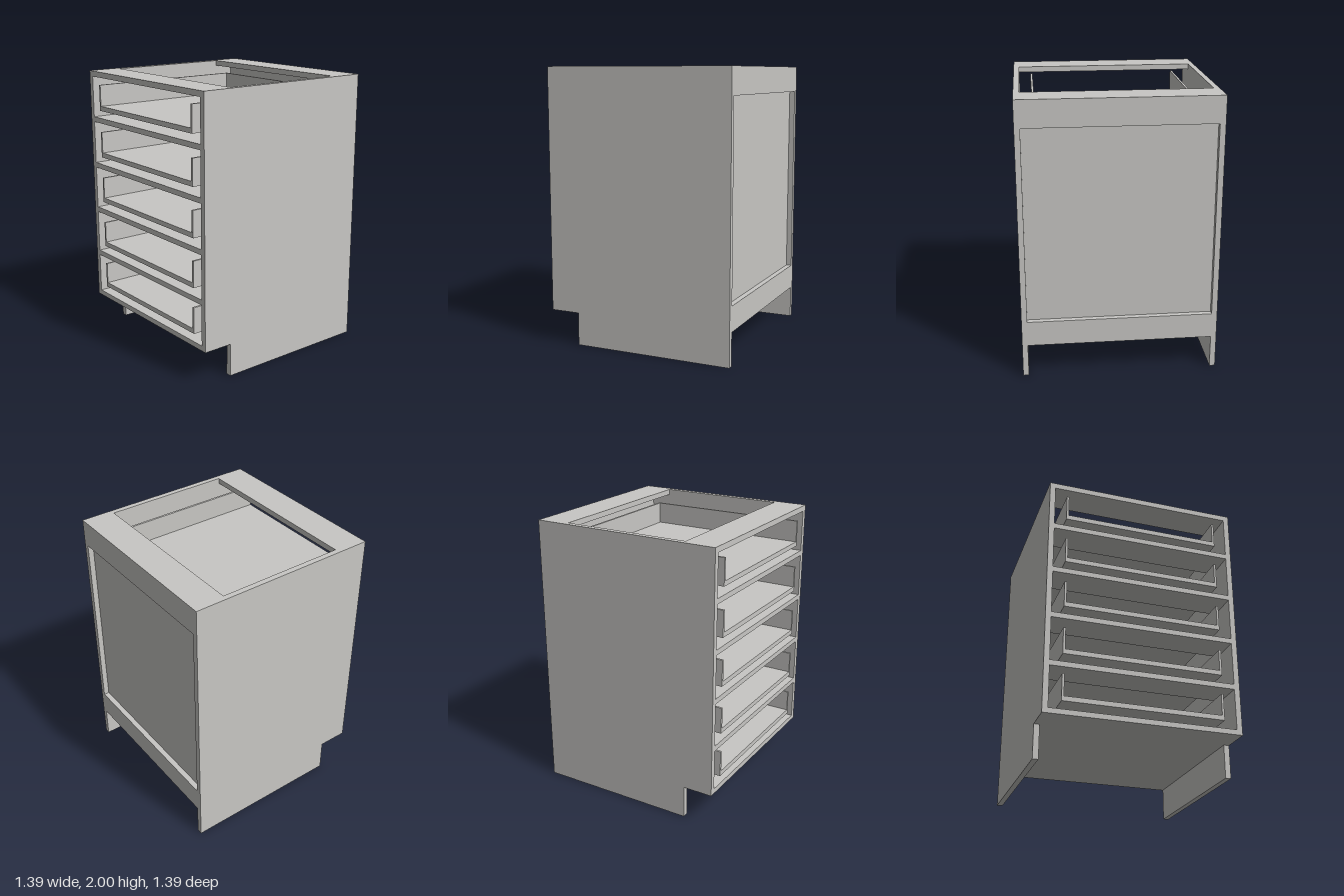
import * as THREE from 'three';

export function createModel() {
  const cabinet = new THREE.Group();
  cabinet.name = 'drawerCabinet';
  const paleGrey = new THREE.MeshStandardMaterial({ color: 0xc8c7c4 });
  paleGrey.name = 'paleGrey';

  const H = 0.695;   // half width and half depth
  const IN = 0.655;  // inner face of the sides

  // Box given by its min and max on each axis
  function board(parent, name, x0, x1, y0, y1, z0, z1) {
    const mesh = new THREE.Mesh(new THREE.BoxGeometry(x1 - x0, y1 - y0, z1 - z0), paleGrey);
    mesh.position.set((x0 + x1) / 2, (y0 + y1) / 2, (z0 + z1) / 2);
    mesh.name = name;
    parent.add(mesh);
  }

  // Side panels with a toe notch at the lower front; shape x is -z
  const outline = new THREE.Shape([
    [-0.478, 0], [H, 0], [H, 2], [-H, 2], [-H, 0.238], [-0.478, 0.238],
  ].map(([x, y]) => new THREE.Vector2(x, y)));
  const sideGeometry = new THREE.ExtrudeGeometry(outline, { depth: H - IN, bevelEnabled: false });
  sideGeometry.rotateY(Math.PI / 2);
  for (const [name, x] of [['leftSide', IN], ['rightSide', -H]]) {
    const side = new THREE.Mesh(sideGeometry, paleGrey);
    side.position.x = x;
    side.name = name;
    cabinet.add(side);
  }

  // Carcass floor, top stretchers and recessed back with its two rails
  board(cabinet, 'bottomPanel', -IN, IN, 0.238, 0.275, -H, H);
  board(cabinet, 'frontTopStretcher', -IN, IN, 1.96, 2, 0.46, H);
  board(cabinet, 'backTopStretcher', -IN, IN, 1.96, 2, -H, -0.465);
  board(cabinet, 'backUpperRail', -IN, IN, 1.81, 1.96, -H, -IN);
  board(cabinet, 'backLowerRail', -IN, IN, 0.275, 0.42, -H, -IN);
  board(cabinet, 'backPanel', -IN, IN, 0.275, 1.96, -IN, -0.617);

  // Stretchers between the drawers
  for (const y of [0.57, 0.922, 1.272, 1.622]) {
    board(cabinet, 'drawerDivider', -IN, IN, y, y + 0.038, 0.46, H);
  }

  // Open-fronted drawer boxes
  for (const y of [0.332, 0.665, 1.016, 1.365, 1.715]) {
    const drawer = new THREE.Group();
    drawer.name = 'drawer';
    const W = 0.569, T = 0.016, back = -0.507, front = 0.694;
    board(drawer, 'drawerFloor', -W + T, W - T, y, y + 0.035, back, front);
    board(drawer, 'drawerLeftSide', W - T, W, y, y + 0.191, back, front);
    board(drawer, 'drawerRightSide', -W, -W + T, y, y + 0.191, back, front);
    board(drawer, 'drawerBack', -W + T, W - T, y + 0.035, y + 0.191, back, back + T);
    cabinet.add(drawer);
  }
  return cabinet;
}
